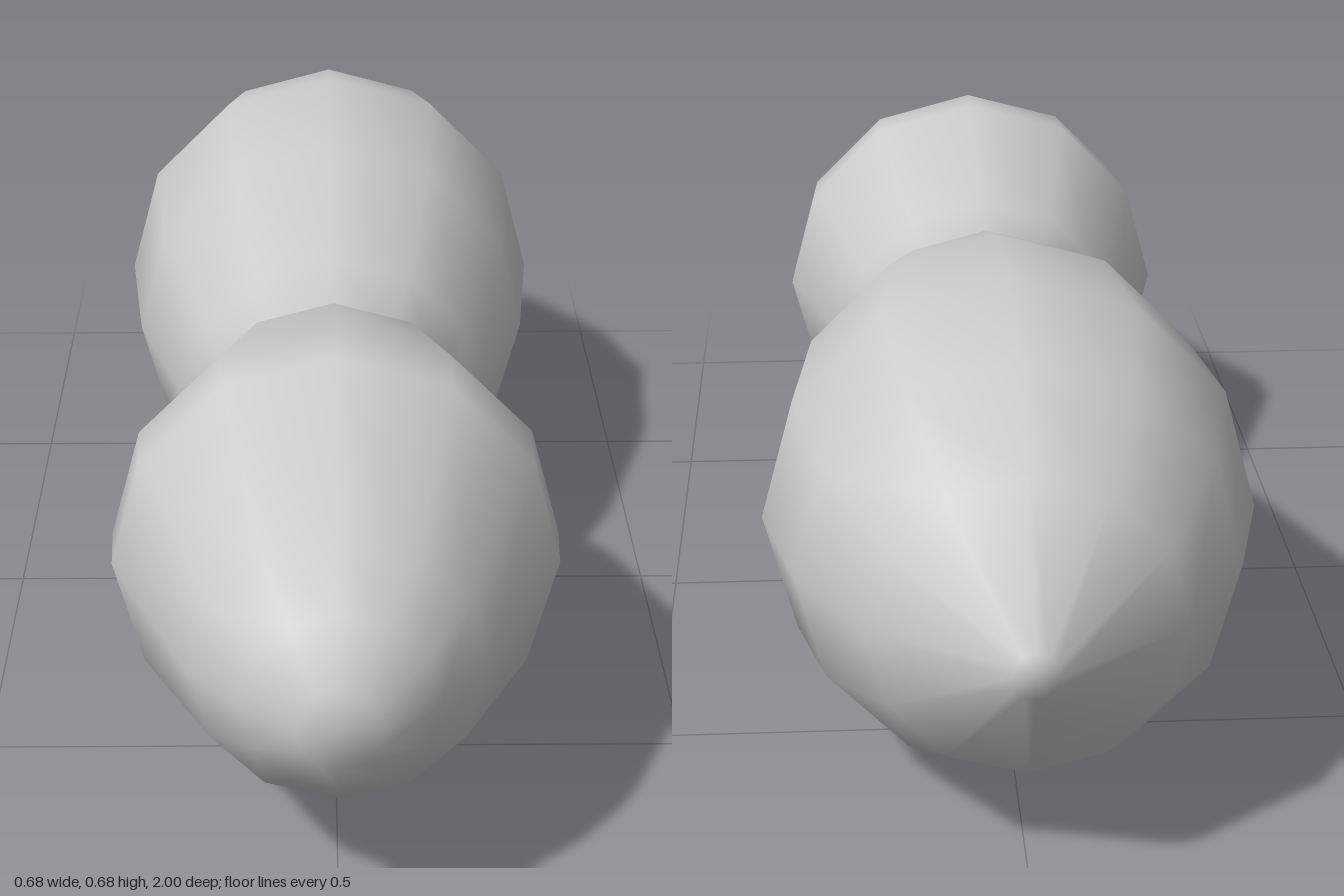
import * as THREE from 'three';

export function createModel() {
  const group = new THREE.Group();

  // Peanut profile from back tip to front tip: [radius, z]
  const profile = [
    [0, -1], [0.03, -1], [0.205, -0.87], [0.295, -0.7], [0.34, -0.51],
    [0.312, -0.24], [0.23, 0.04], [0.18, 0.145], [0.225, 0.2],
    [0.31, 0.485], [0.305, 0.575], [0.19, 0.86], [0.125, 0.94],
    [0.055, 1], [0, 1],
  ].map(([r, z]) => new THREE.Vector2(r, z));

  // Twelve-sided turned body, laid along z
  const geometry = new THREE.LatheGeometry(profile, 12);
  geometry.rotateX(Math.PI / 2);
  geometry.translate(0, 0.34, 0);

  const shell = new THREE.Mesh(
    geometry,
    new THREE.MeshStandardMaterial({ color: 0xcccccc })
  );
  shell.name = 'twoLobedShell';
  group.add(shell);
  return group;
}
